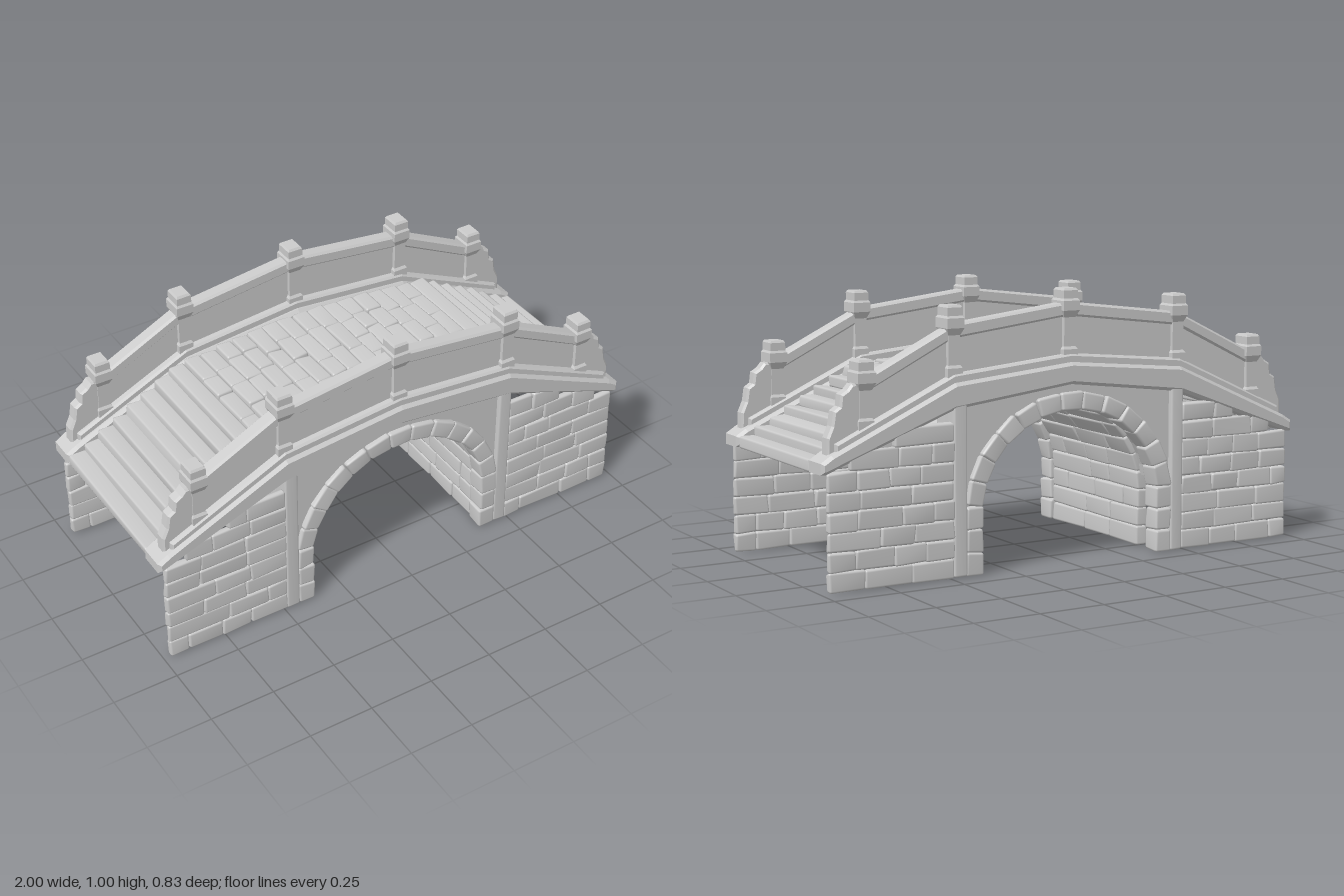
import * as THREE from 'three';
import { mergeGeometries, mergeVertices } from 'three/addons/utils/BufferGeometryUtils.js';
import { RoundedBoxGeometry } from 'three/addons/geometries/RoundedBoxGeometry.js';

const mat = new THREE.MeshStandardMaterial({ color: 0xcccccc, side: THREE.DoubleSide });
let seed = 7;
const rnd = () => (seed = (seed * 16807) % 2147483647) / 2147483647;

// Hand-cut block between two corners: bevelled, with every corner nudged a little
function stone(x0, x1, y0, y1, z0, z1, wob = 0.006) {
  const w = x1 - x0, h = y1 - y0, d = z1 - z0;
  let g = new RoundedBoxGeometry(w, h, d, 1, Math.min(0.009, Math.min(w, h, d) * 0.3));
  g.deleteAttribute('normal');
  g.deleteAttribute('uv');
  g = mergeVertices(g, 1e-5);
  const nudge = Array.from({ length: 24 }, () => (rnd() - 0.5) * wob);
  const p = g.attributes.position;
  for (let i = 0; i < p.count; i++) {
    const x = p.getX(i), y = p.getY(i), z = p.getZ(i);
    const k = 3 * ((x > 0 ? 1 : 0) + (y > 0 ? 2 : 0) + (z > 0 ? 4 : 0));
    p.setXYZ(i, x + (x0 + x1) / 2 + nudge[k], y + (y0 + y1) / 2 + nudge[k + 1], z + (z0 + z1) / 2 + nudge[k + 2]);
  }
  g.computeVertexNormals();
  return g;
}

// Split a length into irregular stone lengths
function cuts(a, b, size) {
  const out = [a];
  let x = a + size * (0.5 + rnd() * 0.7);
  while (x < b - size * 0.45) {
    out.push(x);
    x += size * (0.75 + rnd() * 0.6);
  }
  return [...out, b];
}
const pairs = (list, fn) => list.slice(1).map((v, i) => fn(list[i], v));

// Polygon in the xy plane, extruded from z0 to z1 with a small bevel
function slab(pts, z0, z1, bevel = 0.008, hole) {
  const s = new THREE.Shape(pts.map(([x, y]) => new THREE.Vector2(x, y)));
  if (hole) s.holes.push(hole);
  return new THREE.ExtrudeGeometry(s, {
    depth: z1 - z0 - 2 * bevel, bevelEnabled: bevel > 0, bevelThickness: bevel,
    bevelSize: bevel, bevelOffset: -bevel, bevelSegments: 1, curveSegments: 24,
  }).translate(0, 0, z0 + bevel);
}
// Symmetrical strip from right-hand top and bottom lines, listed from the middle outwards
function strip(top, bottom) {
  const mirror = (l) => l.slice(1).reverse().map(([x, y]) => [-x, y]);
  return [...mirror(bottom), ...bottom, ...[...top].reverse(), ...mirror(top).reverse()];
}

// Arch: straight jambs up to SPRING, then a half ellipse
const A = 0.37, B = 0.34, SPRING = 0.22, ARC = 1.115, LEN = ARC + 2 * SPRING;
function bendToArch(g) {
  const p = g.attributes.position;
  for (let i = 0; i < p.count; i++) {
    const u = p.getX(i) - SPRING, off = p.getY(i);
    const t = THREE.MathUtils.clamp(u / ARC, 0, 1) * Math.PI;
    const drop = Math.min(u, 0) + Math.min(ARC - u, 0);
    p.setXY(i, -(A + off) * Math.cos(t), Math.max(0, SPRING + (B + off) * Math.sin(t) + drop));
  }
  g.computeVertexNormals();
  return g;
}
// Spandrel outline with the arch cut away, from a foot height upwards
function spandrel(half, foot, grow) {
  const pts = [[half, foot], [half, 0.62], [0, 0.68], [-half, 0.62], [-half, foot], [-A - grow, foot]];
  const t0 = Math.asin(Math.max(0, (foot - SPRING) / (B + grow)));
  for (let i = 0; i <= 24; i++) {
    const t = Math.PI - t0 - (i / 24) * (Math.PI - 2 * t0);
    pts.push([(A + grow) * Math.cos(t), SPRING + (B + grow) * Math.sin(t)]);
  }
  pts.push([A + grow, foot]);
  return pts;
}

// Square post with a flared cap, from a half-width profile
function post(x, base, top) {
  const prof = [[0, base], [0.036, base], [0.036, base + 0.05], [0.029, base + 0.06], [0.029, top - 0.105],
    [0.042, top - 0.08], [0.042, top - 0.045], [0.036, top - 0.037], [0.036, top - 0.008], [0.03, top], [0, top]];
  const g = new THREE.LatheGeometry(prof.map(([r, y]) => new THREE.Vector2(r * Math.SQRT2, y)), 4, Math.PI / 4).toNonIndexed();
  g.scale(0.82, 1, 1).translate(x, 0, 0.36);
  g.computeVertexNormals();
  return g;
}

export function createModel() {
  const model = new THREE.Group();
  const add = (name, list, parent = model) => {
    const m = new THREE.Mesh(list.length > 1 ? mergeGeometries(list) : list[0], mat);
    m.name = name;
    parent.add(m);
  };

  // Everything that belongs to one face of the bridge
  for (const side of [1, -1]) {
    const face = new THREE.Group();
    face.name = side > 0 ? 'frontFace' : 'backFace';
    face.rotation.y = side > 0 ? 0 : Math.PI;
    model.add(face);

    // Coursed abutment walls, stepping in under the sloping coping
    const wall = [];
    for (const s of [1, -1]) {
      for (let r = 0; r < 8; r++) {
        const y = r * 0.069, end = Math.min(0.975, 1.0 - (y + 0.069 - 0.44) / 0.4);
        if (end < 0.55) continue;
        pairs(cuts(0.485, end, 0.15), (a, b) =>
          wall.push(stone(Math.min(s * a, s * b), Math.max(s * a, s * b), y, y + 0.069, 0.382, 0.41)));
      }
    }
    add('abutmentWall', wall, face);

    // Arch ring of wedge stones
    const ring = [], n = 19;
    for (let i = 0; i < n; i++) {
      const u = (LEN * i) / n;
      ring.push(bendToArch(stone(u, u + LEN / n, 0, 0.068, 0.335, 0.412)));
    }
    add('archRing', ring, face);

    add('spandrel', [slab(spandrel(0.48, SPRING, 0.05), 0.345, 0.392, 0)], face);
    add('innerRib', [slab(spandrel(0.46, 0.27, 0.03), 0.235, 0.355, 0)], face);
    add('pilaster', [1, -1].map((s) => stone(s * 0.462 - 0.027, s * 0.462 + 0.027, 0, 0.64, 0.34, 0.412, 0.003)), face);

    // Sloping coping, with a thinner curb above it
    add('coping', [
      slab(strip([[0, 0.735], [0.48, 0.69], [0.96, 0.475], [1, 0.45]], [[0, 0.655], [0.48, 0.597], [0.98, 0.41], [1, 0.41]]), 0.3, 0.415, 0.012),
      slab(strip([[0, 0.765], [0.48, 0.72], [0.94, 0.51]], [[0, 0.72], [0.48, 0.675], [0.94, 0.46]]), 0.318, 0.402),
    ], face);

    // Parapet: thin panel with a top rail
    const top = [[0, 0.95], [0.475, 0.893], [0.82, 0.725]];
    add('parapetPanel', [slab(strip(top.map(([x, y]) => [x, y - 0.02]), [[0, 0.72], [0.475, 0.68], [0.82, 0.52]]), 0.346, 0.374, 0)], face);
    add('topRail', [slab(strip(top, top.map(([x, y]) => [x, y - 0.05])), 0.332, 0.388)], face);

    // Stepped scroll stones at the ends of the parapet
    const scroll = [[0.82, 0.5], [0.965, 0.45], [0.963, 0.53], [0.945, 0.57], [0.937, 0.62], [0.915, 0.635],
      [0.91, 0.675], [0.885, 0.69], [0.868, 0.71], [0.82, 0.71]];
    const right = slab(scroll, 0.335, 0.385);
    const left = slab(scroll.map(([x, y]) => [-x, y]).reverse(), 0.335, 0.385);
    add('endScroll', [right, left], face);

    add('post', [post(0, 0.73, 1), ...[1, -1].flatMap((s) => [post(s * 0.475, 0.69, 0.96), post(s * 0.82, 0.53, 0.79)])], face);
  }

  // Tunnel lining, bent from the feet over the crown
  const lining = [], courses = 22;
  for (let i = 0; i < courses; i++) {
    const u = (LEN * i) / courses;
    pairs(cuts(-0.268, 0.335, 0.17), (a, b) => lining.push(bendToArch(stone(u, u + LEN / courses, 0.012, 0.06, a, b, 0.005))));
  }
  add('tunnelLining', lining);

  // Cambered deck of staggered paving stones
  const deck = [], rows = 15, w = 1 / rows;
  for (let i = 0; i < rows; i++) {
    const x = -0.5 + i * w, y = 0.69 + 0.033 * (1 - ((x + w / 2) / 0.5) ** 2);
    pairs(cuts(-0.305, 0.305, 0.13), (a, b) => {
      const lift = (rnd() - 0.5) * 0.008;
      deck.push(stone(x, x + w, y - 0.045 + lift, y + lift, a, b));
    });
  }
  add('deckPaving', deck);
  add('deckBed', [slab(strip([[0, 0.69], [0.49, 0.66]], [[0, 0.64], [0.49, 0.62]]), -0.31, 0.31, 0)]);

  // Flights of long stone steps
  const steps = [];
  for (const s of [1, -1]) {
    for (let i = 0; i < 8; i++) {
      const x = s * (0.96 - i * 0.061), y = 0.45 + i * 0.0335;
      steps.push(stone(x - 0.034, x + 0.034, y - 0.045, y, -0.305, 0.305, 0.008));
    }
  }
  add('step', steps);
  return model;
}
